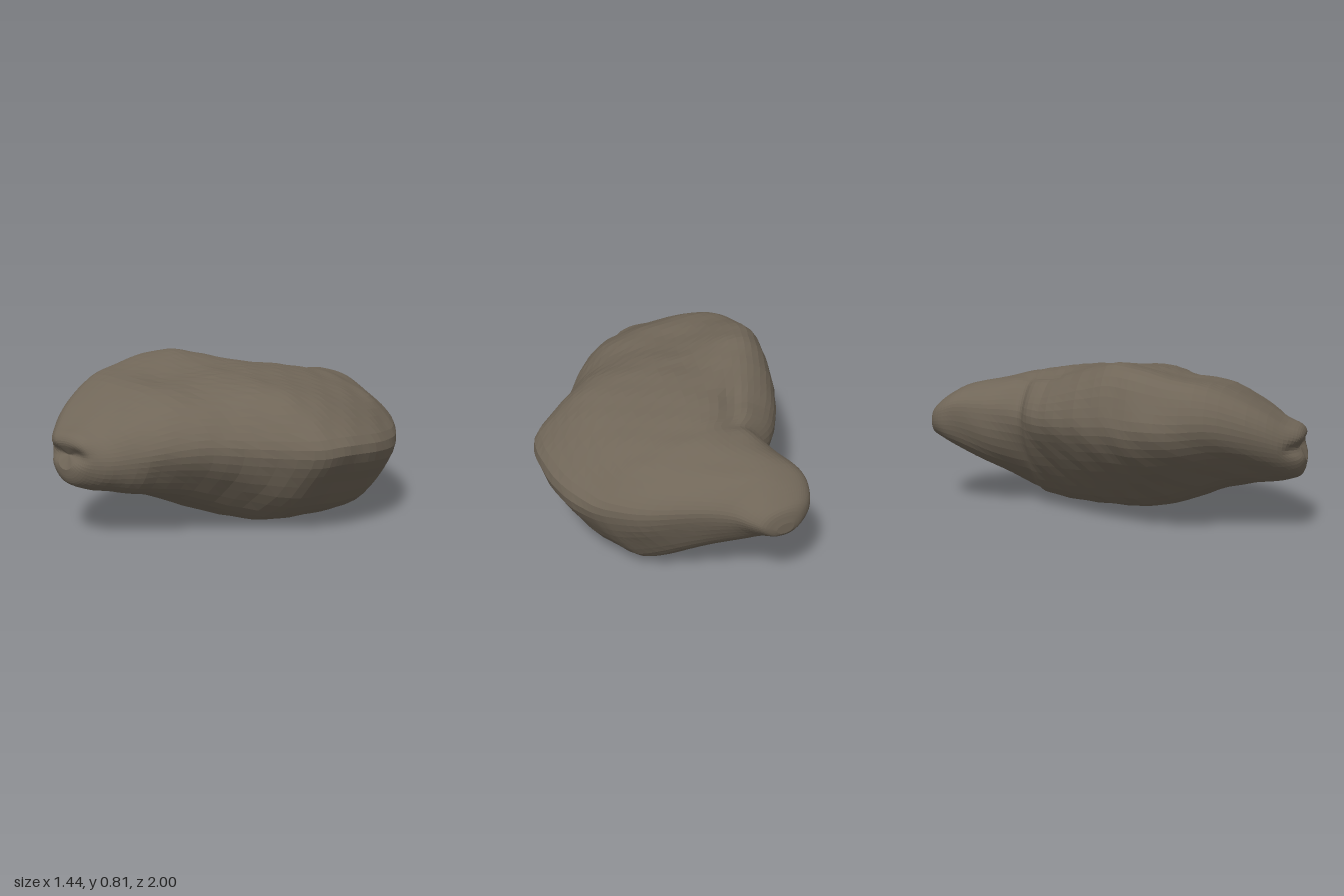
import * as THREE from 'three';

// Cross-sections as fractions of the local width and height, all running left, top, right, bottom
const SECTIONS = [
  { // back: steep low left flank below the side notch, crown near the middle
    z: -0.65,
    points: [
      [0, 0.7], [0.03, 0.84], [0.12, 0.94], [0.24, 0.985], [0.38, 0.99], [0.52, 0.96], [0.67, 0.9], [0.81, 0.81],
      [0.93, 0.69], [1, 0.54], [0.94, 0.32], [0.81, 0.09], [0.67, 0.01], [0.47, 0.01], [0.25, 0.07], [0.09, 0.22], [0.015, 0.46],
    ],
  },
  { // shoulder in front of the notch: sloping left bank, undercut below it
    z: -0.3,
    points: [
      [0, 0.65], [0.035, 0.79], [0.12, 0.9], [0.22, 0.955], [0.35, 0.985], [0.51, 0.95], [0.67, 0.9], [0.81, 0.82],
      [0.92, 0.69], [1, 0.54], [0.95, 0.33], [0.83, 0.1], [0.7, 0.01], [0.48, 0.005], [0.3, 0.07], [0.17, 0.25], [0.06, 0.47],
    ],
  },
  { // middle: crown on the left, undercut flanks
    z: 0.08,
    points: [
      [0, 0.65], [0.03, 0.83], [0.1, 0.98], [0.2, 0.99], [0.35, 0.92], [0.51, 0.905], [0.67, 0.87], [0.8, 0.81],
      [0.92, 0.68], [1, 0.53], [0.94, 0.34], [0.81, 0.1], [0.68, 0.01], [0.46, 0.005], [0.28, 0.07], [0.15, 0.27], [0.04, 0.48],
    ],
  },
  { // front: boxy upper right edge, deep undercut on the left
    z: 0.6,
    points: [
      [0, 0.66], [0.02, 0.84], [0.09, 0.97], [0.2, 0.995], [0.37, 0.975], [0.53, 0.955], [0.69, 0.91], [0.84, 0.84],
      [0.95, 0.7], [1, 0.52], [0.95, 0.31], [0.83, 0.11], [0.67, 0.015], [0.49, 0.01], [0.31, 0.1], [0.17, 0.27], [0.05, 0.47],
    ],
  },
];

// Stations from back to front: z, left edge, right edge, bottom, top
const STATIONS = [
  [-1, -0.16, -0.06, 0.37, 0.43], [-0.985, -0.22, 0, 0.35, 0.49], [-0.95, -0.275, 0.04, 0.335, 0.53],
  [-0.88, -0.32, 0.1, 0.3, 0.585], [-0.8, -0.322, 0.22, 0.25, 0.625], [-0.65, -0.305, 0.45, 0.15, 0.65],
  [-0.52, -0.285, 0.57, 0.055, 0.69], [-0.46, -0.3, 0.61, 0.03, 0.7], [-0.4, -0.39, 0.64, 0.015, 0.715],
  [-0.25, -0.51, 0.695, 0.005, 0.75], [-0.05, -0.62, 0.717, 0.005, 0.795], [0.1, -0.675, 0.7, 0.01, 0.815],
  [0.22, -0.715, 0.645, 0.02, 0.8], [0.4, -0.71, 0.42, 0.08, 0.76], [0.6, -0.66, 0.25, 0.165, 0.725],
  [0.8, -0.57, 0.08, 0.215, 0.625], [0.9, -0.51, -0.04, 0.24, 0.56], [0.965, -0.45, -0.13, 0.265, 0.53],
  [0.99, -0.41, -0.18, 0.3, 0.5], [1, -0.37, -0.24, 0.35, 0.46],
];

const AROUND = 52;
const ALONG = 66;
const { lerp, clamp, smoothstep } = THREE.MathUtils;
const bump = (d, width) => Math.exp(-(d * d) / (width * width));
const spline = (points, closed) => new THREE.CatmullRomCurve3(points, closed, 'catmullrom', 0.5);

const outlines = SECTIONS.map((s) => spline(s.points.map(([u, v]) => new THREE.Vector3(u, v, 0)), true));

// Outline point at fraction t, blended between the neighbouring cross-sections
function outlinePoint(t, z) {
  let k = 0;
  while (k < SECTIONS.length - 2 && z > SECTIONS[k + 1].z) k++;
  const blend = clamp((z - SECTIONS[k].z) / (SECTIONS[k + 1].z - SECTIONS[k].z), 0, 1);
  return outlines[k].getPoint(t).lerp(outlines[k + 1].getPoint(t), blend);
}

function rockGeometry() {
  const widths = spline(STATIONS.map(([z, l, r]) => new THREE.Vector3(l, r, z)), false);
  const heights = spline(STATIONS.map(([z, , , b, t]) => new THREE.Vector3(b, t, z)), false);
  const pos = [];
  const index = [];

  for (let i = 0; i <= ALONG; i++) {
    const w = widths.getPoint(i / ALONG);
    const h = heights.getPoint(i / ALONG);
    // Sections get rounder towards both tips
    const round = 0.5 * smoothstep(Math.abs(w.z), 0.7, 1);
    for (let j = 0; j < AROUND; j++) {
      const p = outlinePoint(j / AROUND, w.z);
      const a = Math.atan2(p.y - 0.5, p.x - 0.5);
      const u = lerp(p.x, 0.5 + 0.5 * Math.cos(a), round);
      const v = lerp(p.y, 0.5 + 0.5 * Math.sin(a), round);
      let x = lerp(w.x, w.y, u);
      let y = lerp(h.x, h.y, v);
      let z = w.z;
      // Weathered unevenness
      const n = Math.sin(9 * x + 7 * y + 3 * z) * Math.sin(8 * z - 11 * y + 1)
        + 0.7 * Math.sin(21 * x - 12 * z + 2) * Math.sin(19 * y + 15 * z);
      x += 0.006 * n * Math.cos(a);
      y += 0.006 * n * Math.sin(a);
      // Fold running across the top from the side notch
      if (v > 0.6) y -= 0.025 * bump(x + 0.2 + 0.5 * (z + 0.32), 0.06) * bump(z + 0.33, 0.16);
      // Split across the front tip
      z -= 0.035 * bump(y - 0.425, 0.035) * smoothstep(z, 0.88, 0.99) * smoothstep(-x, 0.1, 0.25);
      pos.push(x, y, z);
    }
  }

  for (let i = 0; i < ALONG; i++) {
    for (let j = 0; j < AROUND; j++) {
      const a = i * AROUND + j;
      const b = i * AROUND + (j + 1) % AROUND;
      index.push(a, a + AROUND, b, b, a + AROUND, b + AROUND);
    }
  }

  // Close both tips
  const back = pos.length / 3;
  pos.push(-0.11, 0.4, -1, -0.305, 0.42, 0.965);
  for (let j = 0; j < AROUND; j++) {
    const k = (j + 1) % AROUND;
    index.push(back, j, k, back + 1, ALONG * AROUND + k, ALONG * AROUND + j);
  }

  const geometry = new THREE.BufferGeometry();
  geometry.setAttribute('position', new THREE.Float32BufferAttribute(pos, 3));
  geometry.setIndex(index);

  // Rest on the ground
  geometry.computeBoundingBox();
  geometry.translate(0, -geometry.boundingBox.min.y, 0);
  geometry.computeVertexNormals();
  return geometry;
}

export function createModel() {
  const group = new THREE.Group();
  group.name = 'boulder';
  const rock = new THREE.Mesh(rockGeometry(), new THREE.MeshStandardMaterial({ color: 0x706658, flatShading: true }));
  rock.name = 'rock';
  group.add(rock);
  return group;
}
